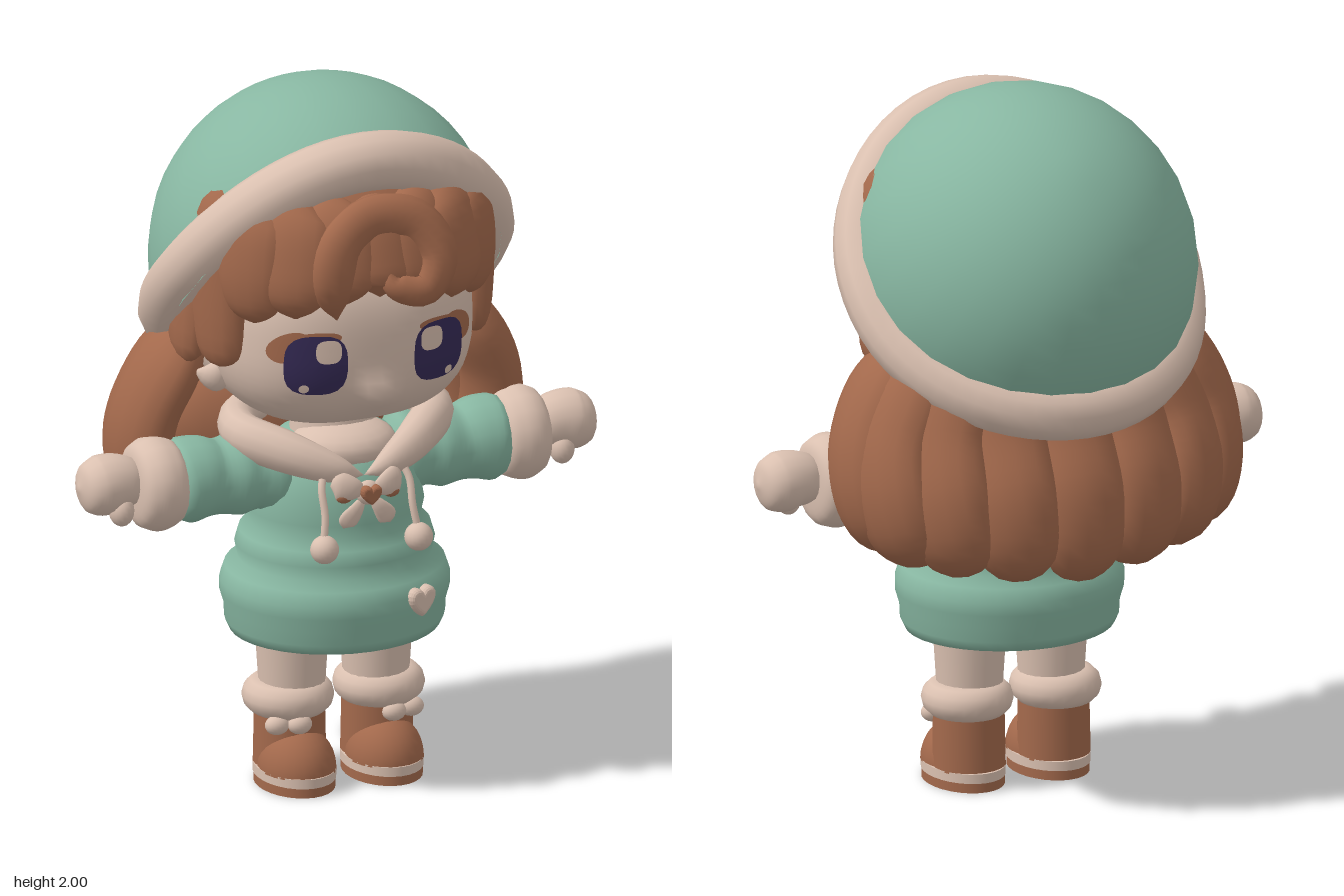
import * as THREE from 'three';
import { mergeVertices } from 'three/addons/utils/BufferGeometryUtils.js';
import { ParametricGeometry } from 'three/addons/geometries/ParametricGeometry.js';

const paint = (name, color, side = THREE.FrontSide) => {
  const m = new THREE.MeshStandardMaterial({ color, side });
  m.name = name;
  return m;
};
const V = (x, y, z) => new THREE.Vector3(x, y, z);

// Smooth surface from a rule, with seams and poles welded
function surface(fn, nu, nv) {
  const g = new ParametricGeometry(fn, nu, nv);
  g.deleteAttribute('uv');
  g.deleteAttribute('normal');
  const merged = mergeVertices(g, 1e-4);
  merged.computeVertexNormals();
  return merged;
}

// Soft limb along rows of [x, y, z, radius across, radius along n]
function sweep(rows, n, nu = 14, nv = 20) {
  const path = new THREE.CatmullRomCurve3(rows.map(r => V(r[0], r[1], r[2])), false, 'catmullrom');
  const size = new THREE.CatmullRomCurve3(rows.map(r => V(r[3], r[4] ?? r[3], 0)), false, 'catmullrom');
  return surface((u, v, out) => {
    const T = path.getTangent(v), r = size.getPoint(v), f = u * Math.PI * 2;
    const a = n.clone().cross(T).normalize(), b = T.clone().cross(a);
    out.copy(path.getPoint(v))
      .addScaledVector(a, Math.cos(f) * Math.max(0, r.x))
      .addScaledVector(b, Math.sin(f) * Math.max(0, r.y));
  }, nu, nv);
}

// Rounded-box head: centre, half sizes and squareness
const HEAD = { y: 1.36, z: 0.03, a: 0.37, b: 0.295, c: 0.375, p: 2.7 };
const headZ = (x, y) => HEAD.z + HEAD.c * Math.pow(Math.max(0,
  1 - Math.pow(Math.abs(x) / HEAD.a, HEAD.p) - Math.pow(Math.abs(y - HEAD.y) / HEAD.b, HEAD.p)), 1 / HEAD.p);

// Head with a small nose bump
function headGeometry() {
  return surface((u, v, out) => {
    const f = u * Math.PI * 2, t = (v - 0.5) * Math.PI;
    out.set(Math.cos(t) * Math.sin(f), Math.sin(t), Math.cos(t) * Math.cos(f));
    const k = Math.pow(Math.abs(out.x) ** HEAD.p + Math.abs(out.y) ** HEAD.p + Math.abs(out.z) ** HEAD.p, -1 / HEAD.p);
    out.set(out.x * k * HEAD.a, HEAD.y + out.y * k * HEAD.b, HEAD.z + out.z * k * HEAD.c);
    if (out.z > 0) out.z += 0.045 * Math.exp(-(out.x ** 2 + (out.y - 1.21) ** 2) / 0.0025);
  }, 56, 36);
}

// Thin patch lying on the face
function facePatch(cx, cy, rx, ry, lift, tilt = 0, square = 2) {
  const g = new THREE.RingGeometry(0.001, 1, 28, 5), p = g.attributes.position;
  for (let i = 0; i < p.count; i++) {
    const x = p.getX(i), y = p.getY(i), r = Math.hypot(x, y), f = Math.atan2(y, x);
    const k = r * Math.pow(Math.abs(Math.cos(f)) ** square + Math.abs(Math.sin(f)) ** square, -1 / square);
    const dx = k * Math.cos(f) * rx, dy = k * Math.sin(f) * ry;
    const X = cx + dx * Math.cos(tilt) - dy * Math.sin(tilt), Y = cy + dx * Math.sin(tilt) + dy * Math.cos(tilt);
    p.setXYZ(i, X, Y, headZ(X, Y) + lift);
  }
  g.computeVertexNormals();
  return g;
}

// Dome tilted back; dip lowers the rim at the sides
const TILT = -0.757;
function dome(r, rx, open, dip) {
  return surface((u, v, out) => {
    const f = u * Math.PI * 2, t = (1 - v) * Math.PI * (open + dip * Math.sin(f) ** 2);
    out.set(Math.sin(t) * Math.sin(f) * rx, Math.cos(t) * r, Math.sin(t) * Math.cos(f) * r);
    out.applyAxisAngle(V(1, 0, 0), TILT);
    out.y += 1.5;
  }, 26, 14);
}

// Puffy heart
function heart(w, depth) {
  const s = new THREE.Shape();
  s.moveTo(0, -0.9);
  s.bezierCurveTo(-0.5, -0.6, -1.1, 0, -0.95, 0.5);
  s.bezierCurveTo(-0.8, 0.95, -0.2, 0.9, 0, 0.6);
  s.bezierCurveTo(0.2, 0.9, 0.8, 0.95, 0.95, 0.5);
  s.bezierCurveTo(1.1, 0, 0.5, -0.6, 0, -0.9);
  const g = new THREE.ExtrudeGeometry(s, { depth: 0.3, bevelSize: 0.3, bevelOffset: -0.25, bevelThickness: 0.4, bevelSegments: 4, curveSegments: 6 });
  return g.scale(w, w, depth);
}

export function createModel() {
  const model = new THREE.Group();
  const teal = paint('teal cloth', 0x88b7a2, THREE.DoubleSide);
  const cream = paint('cream skin and trim', 0xdac0b0);
  const brown = paint('brown hair and leather', 0xa3694c, THREE.DoubleSide);
  const purple = paint('dark purple eye', 0x362b56);
  const add = (name, geo, mat, x = 0, y = 0, z = 0) => {
    const m = new THREE.Mesh(geo, mat);
    m.name = name;
    m.position.set(x, y, z);
    model.add(m);
    return m;
  };
  const ball = (name, mat, x, y, z, rx, ry = rx, rz = rx) =>
    add(name, new THREE.SphereGeometry(1, 18, 12).scale(rx, ry, rz), mat, x, y, z);
  const Z = V(0, 0, 1);

  // Head and neck
  add('head', headGeometry(), cream);
  add('neck', new THREE.CylinderGeometry(0.11, 0.13, 0.2, 18), cream, 0, 1.03, 0.06);
  ball('chest', cream, 0, 0.99, 0.13, 0.15, 0.07, 0.13);

  // Hat: dome with a rolled brim that dips at the sides
  add('hatDome', dome(0.5, 0.485, 0.5, 0.07), teal);
  const rim = [];
  for (let i = 0; i < 24; i++) {
    const f = i / 24 * Math.PI * 2, s2 = Math.sin(f) ** 2, back = Math.max(0, -Math.cos(f));
    const p = V(Math.sin(f) * 0.45, -0.09 * s2 - 0.03 * back, Math.cos(f) * 0.48).applyAxisAngle(V(1, 0, 0), TILT);
    rim.push(p.add(V(0, 1.535, -0.05)));
  }
  add('hatBrim', new THREE.TubeGeometry(new THREE.CatmullRomCurve3(rim, true), 60, 0.083, 12, true), cream);

  // Hair cap and fringe locks: angle, tip height, distance out above and below
  add('hairCap', dome(0.44, 0.43, 0.6, 0.03), brown);
  const half = [[19, 1.48, 0.38, 0.38], [37, 1.45, 0.4, 0.4], [55, 1.42, 0.41, 0.4], [73, 1.27, 0.4, 0.395], [92, 1.25, 0.39, 0.42]];
  const fringe = [[0, 1.5, 0.37, 0.37], ...half, ...half.map(([a, ...rest]) => [-a, ...rest])];
  for (const [deg, yb, R, low] of fringe) {
    const f = deg * Math.PI / 180, s = Math.sin(f), c = Math.cos(f);
    add('fringeLock', sweep([
      [s * 0.24, 1.78, 0.14 + c * 0.16, 0, 0],
      [s * (R - 0.04), 1.73, 0.06 + c * (R - 0.07), 0.095, 0.05],
      [s * R, 1.6, 0.04 + c * R, 0.105, 0.05],
      [s * low, yb + 0.06, 0.04 + c * low, 0.085, 0.045],
      [s * (low - 0.015), yb, 0.04 + c * (low - 0.015), 0, 0]], V(s, 0, c)), brown);
  }
  add('foreheadCurl', sweep([
    [-0.13, 1.45, 0.4, 0, 0], [-0.15, 1.55, 0.43, 0.06, 0.035], [-0.13, 1.67, 0.42, 0.065, 0.045],
    [-0.03, 1.73, 0.39, 0.065, 0.05], [0.09, 1.715, 0.4, 0.065, 0.05], [0.155, 1.62, 0.43, 0.06, 0.05],
    [0.11, 1.53, 0.45, 0.05, 0.045], [0.02, 1.55, 0.45, 0.035, 0.035], [0, 1.61, 0.45, 0, 0]], Z, 12, 40), brown);

  // Long back hair: locks swelling outward and tucked in around a full core
  ball('backHairCore', brown, 0, 0.98, -0.21, 0.42, 0.25, 0.17);
  for (let i = -4; i <= 4; i++) {
    const f = i * 23 * Math.PI / 180, s = Math.sin(f), c = Math.cos(f);
    const yb = 0.7 + 0.07 * Math.abs(i) / 4;
    add('backHairLock', sweep([
      [s * 0.34, 1.38, -0.03 - c * 0.16, 0, 0],
      [s * 0.43, 1.25, -0.05 - c * 0.2, 0.12, 0.075],
      [s * 0.51, 1.09, -0.07 - c * 0.24, 0.13, 0.085],
      [s * 0.52, 0.93, -0.1 - c * 0.285, 0.13, 0.085],
      [s * 0.46, yb + 0.06, -0.12 - c * 0.25, 0.105, 0.075],
      [s * 0.32, yb + 0.03, -0.13 - c * 0.1, 0, 0]], V(s, 0, -c), 14, 28), brown);
  }

  // Coat with puffy folds and a closed hem
  const profile = [[0.01, 0.52], [0.25, 0.5], [0.275, 0.455], [0.295, 0.442], [0.308, 0.47], [0.31, 0.51], [0.322, 0.55],
    [0.322, 0.585], [0.308, 0.625], [0.272, 0.65], [0.28, 0.69], [0.268, 0.73], [0.24, 0.755], [0.25, 0.8], [0.238, 0.87],
    [0.22, 0.94], [0.16, 1.0], [0.1, 1.02]].map(p => new THREE.Vector2(...p));
  add('coat', new THREE.LatheGeometry(profile, 36).scale(1, 1, 0.9), teal, 0, 0, 0.07);
  add('pocketHeart', heart(0.046, 0.045), cream, 0.145, 0.568, 0.316).rotation.y = 0.35;

  // Bow at the collar
  ball('bowKnot', cream, 0, 0.9, 0.31, 0.035, 0.035, 0.025);
  add('bowHeart', heart(0.03, 0.03), brown, 0, 0.9, 0.325);

  for (const s of [-1, 1]) {
    // Eye with lashes and highlights
    add('eye', facePatch(s * 0.182, 1.318, 0.083, 0.088, 0.004, 0, 3), purple);
    add('eyelash', facePatch(s * 0.25, 1.37, 0.058, 0.04, 0.003, -s * 0.6), brown);
    add('upperLash', facePatch(s * 0.2, 1.392, 0.085, 0.022, 0.003, -s * 0.1), brown);
    add('eyeHighlight', facePatch(s * 0.153, 1.36, 0.035, 0.034, 0.008, 0, 3), cream);
    add('eyeSparkle', facePatch(s * 0.215, 1.25, 0.013, 0.013, 0.008), cream);
    add('ear', sweep([[s * 0.3, 1.21, 0.06, 0, 0], [s * 0.34, 1.21, 0.07, 0.045, 0.03],
      [s * 0.375, 1.215, 0.07, 0.035, 0.025], [s * 0.415, 1.23, 0.06, 0, 0]], Z, 10, 10), cream);

    // Hood collar flap
    add('hoodCollar', sweep([[0, 0.94, 0.28, 0, 0], [s * 0.08, 0.965, 0.27, 0.035, 0.04], [s * 0.2, 1.01, 0.2, 0.055, 0.06],
      [s * 0.285, 1.04, 0.08, 0.055, 0.06], [s * 0.2, 1.045, -0.08, 0.05, 0.05], [0, 1.04, -0.14, 0.05, 0.05],
      [-s * 0.03, 1.04, -0.14, 0, 0]], V(0, 1, 0), 12, 30), cream);

    // Bow loop with its opening, tail, drawstring and pompom
    add('bowLoop', sweep([[0, 0.9, 0.31, 0, 0], [s * 0.04, 0.915, 0.315, 0.03, 0.015],
      [s * 0.085, 0.925, 0.3, 0.04, 0.02], [s * 0.105, 0.925, 0.29, 0, 0]], Z, 10, 12), cream);
    ball('bowOpening', brown, s * 0.07, 0.895, 0.308, 0.024, 0.018, 0.014);
    add('bowTail', sweep([[0, 0.9, 0.3, 0, 0], [s * 0.03, 0.86, 0.31, 0.02, 0.01],
      [s * 0.06, 0.82, 0.305, 0.028, 0.01], [s * 0.07, 0.8, 0.3, 0, 0]], Z, 8, 10), cream);
    const cord = new THREE.CatmullRomCurve3([V(s * 0.11, 0.97, 0.26), V(s * 0.13, 0.92, 0.29), V(s * 0.13, 0.85, 0.315), V(s * 0.14, 0.78, 0.33)]);
    add('drawstring', new THREE.TubeGeometry(cord, 12, 0.011, 8), cream);
    ball('pompom', cream, s * 0.14, 0.76, 0.335, 0.04);

    // Arm: sleeve with folds, fluffy cuff, mitten and thumb
    const arm = (name, mat, rows) => add(name, sweep(rows.map(([x, y, r]) => [s * x, y, 0.08, r, r]), Z, 16, 28), mat);
    arm('sleeve', teal, [[0.1, 0.93, 0], [0.17, 0.92, 0.11], [0.25, 0.92, 0.105], [0.3, 0.92, 0.115], [0.36, 0.92, 0.105],
      [0.42, 0.925, 0.118], [0.48, 0.92, 0.108], [0.52, 0.92, 0]]);
    arm('cuff', cream, [[0.465, 0.925, 0], [0.475, 0.925, 0.1], [0.52, 0.925, 0.13], [0.57, 0.925, 0.128], [0.605, 0.925, 0.095], [0.615, 0.925, 0]]);
    arm('mitten', cream, [[0.57, 0.93, 0], [0.6, 0.935, 0.06], [0.66, 0.945, 0.08], [0.71, 0.94, 0.083], [0.75, 0.94, 0.06], [0.77, 0.94, 0]]);
    ball('thumb', cream, s * 0.655, 0.875, 0.12, 0.035, 0.045, 0.04);

    // Leg and fluffy boot cuff
    const x = s * 0.13;
    add('leg', new THREE.CylinderGeometry(0.108, 0.088, 0.32, 20), cream, s * 0.125, 0.37, 0.065);
    add('bootCuff', new THREE.TorusGeometry(0.078, 0.05, 12, 24).rotateX(Math.PI / 2), cream, s * 0.135, 0.248, 0.06);

    // Boot: shaft, rounded toe, layered sole and pompoms
    add('bootShaft', new THREE.CylinderGeometry(0.098, 0.102, 0.19, 24), brown, x, 0.145, 0.06);
    add('bootToe', new THREE.SphereGeometry(1, 24, 8, 0, Math.PI * 2, 0, Math.PI / 2).scale(0.107, 0.12, 0.125), brown, x, 0.05, 0.112);
    const disc = (name, mat, y, h, r) =>
      add(name, new THREE.CylinderGeometry(r, r, h, 28).scale(1, 1, 1.34), mat, x, y, 0.095);
    disc('sole', brown, 0.014, 0.028, 0.107);
    disc('soleStripe', cream, 0.041, 0.027, 0.109);
    ball('bootPompom', cream, s * 0.2, 0.19, 0.14, 0.035, 0.028, 0.028);
    ball('bootPompom', cream, s * 0.14, 0.19, 0.158, 0.035, 0.028, 0.028);
  }
  return model;
}
